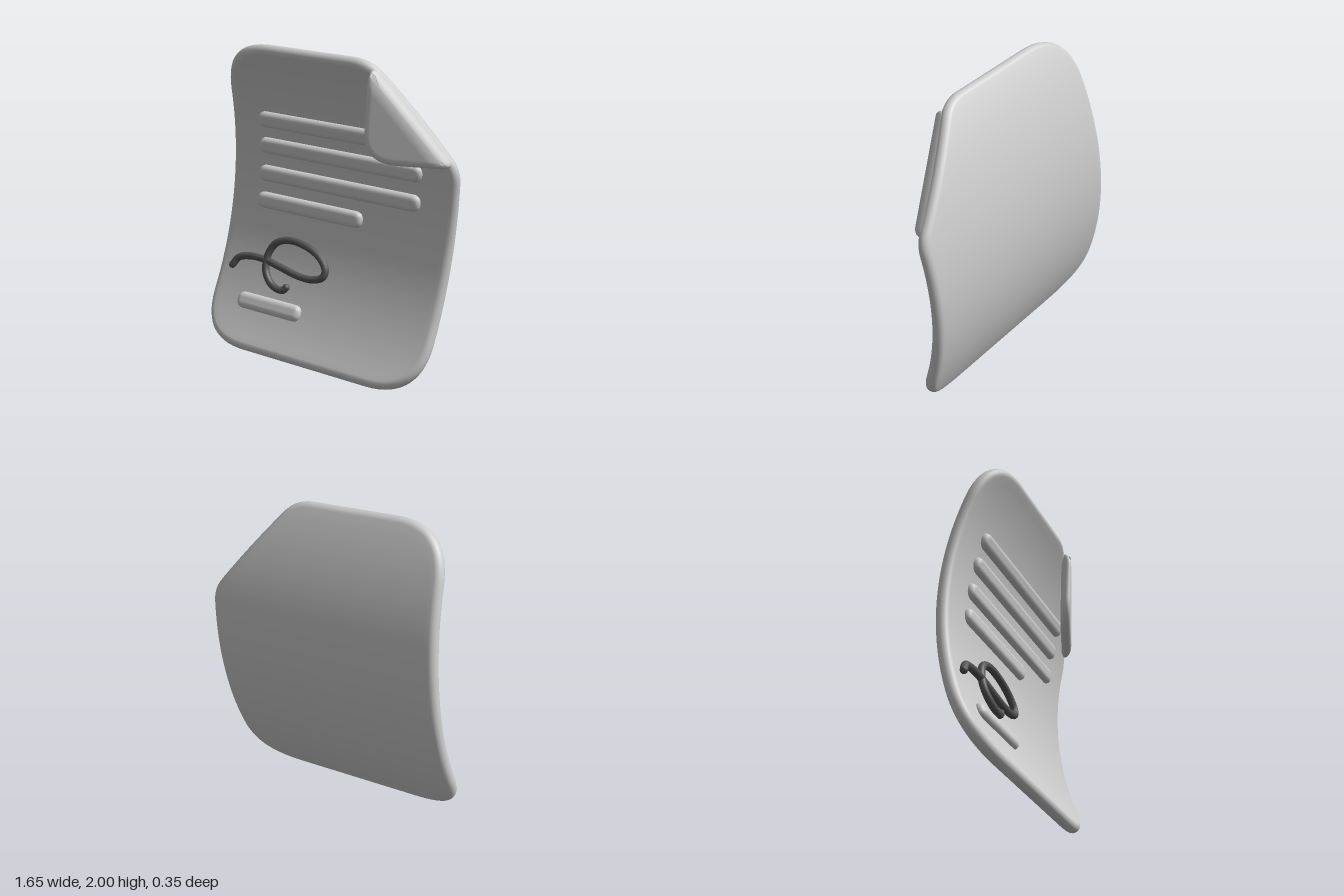
import * as THREE from 'three';

const R = 1.81; // bend radius of the sheet
const HALF = 0.04; // half the sheet thickness

// Rolls a flat point (u across, s along, n out of the sheet) onto the bent sheet
function bend(u, s, n) {
  const a = s / R;
  return new THREE.Vector3(u, (R - n) * Math.sin(a), R - 0.14 - (R - n) * Math.cos(a));
}

// The turned-over corner: a sloping plane that rolls down into the fold line
function curl(u, v, n) {
  const d = -(0.726 * (u - 0.286) + 0.688 * (v - 0.898));
  const t = THREE.MathUtils.clamp(1 - d / 0.09, 0, 1);
  return new THREE.Vector3(u, v, 0.25 - 0.4 * u - 0.06 * (1 - Math.sqrt(1 - t * t)) + n);
}

// Closed outline from corners [x, y, fillet length], counter-clockwise
function outline(corners, count) {
  const shape = new THREE.Shape();
  const pts = corners.map(([x, y]) => new THREE.Vector2(x, y));
  const toward = (p, q, t) => q.clone().sub(p).setLength(t).add(p);
  const len = pts.length;
  pts.forEach((p, i) => {
    const t = corners[i][2];
    const a = toward(p, pts[(i + len - 1) % len], t);
    const b = toward(p, pts[(i + 1) % len], t);
    if (i === 0) shape.moveTo(a.x, a.y);
    else shape.lineTo(a.x, a.y);
    shape.quadraticCurveTo(p.x, p.y, b.x, b.y);
  });
  shape.closePath();
  return shape.getSpacedPoints(count).slice(0, count);
}

// Plate with a round rim, lofted ring by ring from back centre to front centre
function slab(points, half, rings, deform) {
  const N = points.length;
  const c = new THREE.Vector2();
  points.forEach((p) => c.addScaledVector(p, 1 / N));
  const profile = []; // [scale, inset, offset]
  for (let k = 0; k < rings; k++) profile.push([k / rings, half, -half]);
  for (let k = 0; k <= 10; k++) {
    const a = (k / 10 - 0.5) * Math.PI;
    profile.push([1, half * (1 - Math.cos(a)), half * Math.sin(a)]);
  }
  for (let k = rings - 1; k >= 0; k--) profile.push([k / rings, half, half]);

  const pos = [], index = [];
  profile.forEach(([scale, inset, n], j) => {
    for (let i = 0; i < N; i++) {
      const tan = points[(i + 1) % N].clone().sub(points[(i + N - 1) % N]).normalize();
      const x = points[i].x - tan.y * inset, y = points[i].y + tan.x * inset;
      pos.push(...deform(c.x + (x - c.x) * scale, c.y + (y - c.y) * scale, n).toArray());
      if (j === profile.length - 1) continue;
      const a = j * N + i, b = j * N + ((i + 1) % N);
      index.push(a, b, b + N, a, b + N, a + N);
    }
  });
  const geo = new THREE.BufferGeometry();
  geo.setAttribute('position', new THREE.Float32BufferAttribute(pos, 3));
  geo.setIndex(index);
  geo.computeVertexNormals();
  return geo;
}

export function createModel() {
  const group = new THREE.Group();
  const page = new THREE.Group();
  page.name = 'page';
  group.add(page);
  const grey = new THREE.MeshStandardMaterial({ color: 0xcccccc });
  const dark = new THREE.MeshStandardMaterial({ color: 0x555555 });
  const add = (name, geo, mat = grey) => {
    const mesh = new THREE.Mesh(geo, mat);
    mesh.name = name;
    page.add(mesh);
    return mesh;
  };

  // Bent sheet with its top left corner cut along the fold
  const sheet = outline([
    [-0.775, -0.993, 0.34], [0.775, -0.993, 0.34], [0.775, 0.383, 0.08],
    [0.24, 0.993, 0.11], [-0.775, 0.993, 0.34],
  ], 240);
  add('sheet', slab(sheet, HALF, 24, bend));

  // Corner folded over the front
  const flap = outline([[0.255, 0.931, 0.09], [0.275, 0.361, 0.19], [0.77, 0.387, 0.09]], 200);
  add('foldedCorner', slab(flap, 0.035, 24, curl));

  // Raised text lines: [height, right end]
  const bars = [[0.505, 0.557], [0.332, 0.557], [0.149, 0.557], [-0.027, 0.19], [-0.69, -0.1]];
  bars.forEach(([s, right], i) => {
    const left = -0.563, h = 0.053;
    const bar = outline([
      [left, s - h, 0.052], [right, s - h, 0.052], [right, s + h, 0.052], [left, s + h, 0.052],
    ], 120);
    const lift = (u, v, n) => bend(u, v, n + HALF + 0.002);
    add('textLine' + (i + 1), slab(bar, 0.034, 4, lift));
  });

  // Looped pen stroke lying on the sheet
  const stroke = [
    [-0.662, -0.488], [-0.626, -0.431], [-0.549, -0.406], [-0.442, -0.405], [-0.307, -0.431],
    [-0.171, -0.458], [-0.073, -0.457], [-0.009, -0.429], [0.002, -0.385], [-0.048, -0.316],
    [-0.15, -0.264], [-0.285, -0.248], [-0.376, -0.284], [-0.42, -0.37], [-0.413, -0.47],
    [-0.363, -0.54], [-0.302, -0.57], [-0.258, -0.569], [-0.24, -0.547],
  ].map(([u, s]) => bend(u, s, 0.06));
  const curve = new THREE.CatmullRomCurve3(stroke);
  add('penStroke', new THREE.TubeGeometry(curve, 160, 0.023, 12), dark);
  for (const end of [stroke[0], stroke[stroke.length - 1]]) {
    add('penStrokeEnd', new THREE.SphereGeometry(0.023, 16, 12), dark).position.copy(end);
  }

  // Tilt the whole page
  page.rotation.z = -0.115;
  page.position.set(0.018, 1, 0);
  return group;
}
